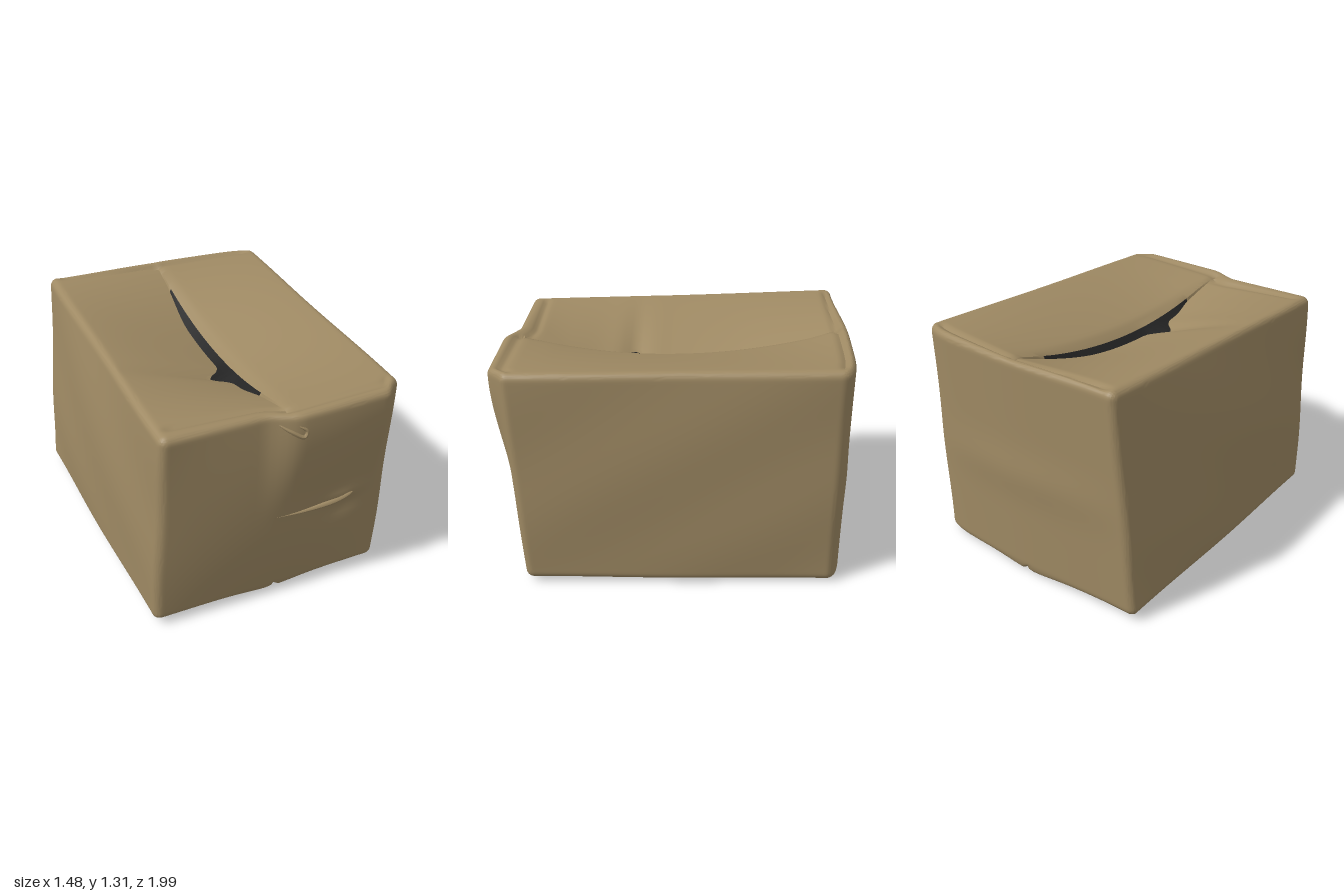
import * as THREE from 'three';
import { toCreasedNormals } from 'three/addons/utils/BufferGeometryUtils.js';

const H = [0.7, 0.64, 0.95]; // half sizes before warping
const R = 0.045; // edge rounding
const W = 61, HT = 56, D = 80; // grid, with one narrow column along the seam
const UC = Math.sin(Math.PI / 2 / W); // edge of the seam column

// Corners of the leaning carton, indexed by x + 2y + 4z
const CORNERS = [
  [-0.72, 0.04, -0.97], [0.722, 0.02, -0.885], [-0.615, 1.325, -1.0], [0.748, 1.315, -0.88],
  [-0.71, 0.04, 0.83], [0.69, 0.03, 0.85], [-0.66, 1.26, 0.89], [0.675, 1.28, 0.92],
].map((c) => new THREE.Vector3(...c));

const clamp = THREE.MathUtils.clamp;
const smooth = THREE.MathUtils.smoothstep;
const bell = (x, c, s) => Math.exp(-(((x - c) / s) ** 2));

// Width of the opening between the top flaps, with a torn notch
function gapWidth(w) {
  const open = smooth(w, -0.8, -0.3) * (1 - smooth(w, 0.45, 0.68));
  return 0.006 + 0.038 * open + 0.1 * bell(w, 0.27, 0.07);
}

// Maps a point of the [-1, 1] cube to the crumpled carton
function place(u0, v0, w0) {
  // round the edges
  const p = [u0, v0, w0].map((t, i) => t * H[i]);
  const inner = p.map((t, i) => clamp(t, R - H[i], H[i] - R));
  const d = new THREE.Vector3(...p.map((t, i) => t - inner[i]));
  if (d.lengthSq() > 0) d.setLength(Math.min(R, d.length()));
  let [u, v, w] = [d.x, d.y, d.z].map((t, i) => (t + inner[i]) / H[i]);

  // pull the seam columns together on the top and bottom
  const top = smooth(v0, 0.92, 1), bottom = smooth(-v0, 0.92, 1);
  const side = u0 < 0 ? -1 : 1;
  const edgeTop = side > 0 ? 0.03 : 0.03 - gapWidth(w) / H[0];
  const edgeBottom = 0.04 + side * 0.008;
  const fall = Math.min(1, (1 - Math.abs(u0)) / (1 - UC));
  u += (edgeTop - side * UC) * fall * top + (edgeBottom - side * UC) * fall * bottom;

  // blend the eight corners
  const out = new THREE.Vector3();
  CORNERS.forEach((c, i) => {
    const k = (i & 1 ? 1 + u : 1 - u) * (i & 2 ? 1 + v : 1 - v) * (i & 4 ? 1 + w : 1 - w) / 8;
    out.addScaledVector(c, k);
  });

  // bulging side walls
  out.x += (u < 0 ? 0.04 : 0.018) * u * (1 - v * v) * (1 - w * w);
  out.x += 0.004 * u * Math.sin(5 * v + 4 * w);

  if (w > 0) {
    // front wall: belly, loose upper right panel, dent around the crease
    const panel = smooth(u, -0.2, 0.1) * (1 - smooth(u, 0.82, 0.98));
    out.z += 0.045 * w * (1 - v * v) * (1 - u * u);
    out.z += 0.07 * panel * smooth(v, -0.2, 0.9) * smooth(w, 0.75, 1);
    out.z += smooth(w, 0.9, 1) * 0.018 * bell(u, 0.58, 0.16) * (bell(v, -0.05, 0.06) - 0.7 * bell(v, -0.2, 0.1));
  } else {
    // back wall: full towards the +x side, ridge at mid height
    out.z += 0.05 * w * (1 - u ** 8) * smooth(u, -1, 0.2);
    out.z += 0.012 * w * bell(v, -0.05, 0.2) * (1 - u * u);
  }

  // sagging top flaps with a rolled edge, the -x one lower
  const sag = side > 0 ? 0.14 * fall ** 1.3 + 0.03 * smooth(fall, 0.93, 1) : 0.2 * fall ** 1.2;
  out.y -= sag * (1 - w * w) * top;
  // fold lines across the flap ends
  const foldFront = u < 0.02 ? 0.9 : 0.93;
  const foldBack = u < 0.05 ? -0.93 + 0.03 * u : -0.94;
  const along = smooth(1 - Math.abs(u), 0.03, 0.15);
  out.y -= 0.016 * top * along * (bell(w, foldFront, 0.02) + bell(w, foldBack, 0.02));
  // bottom flaps bulge down towards a grooved seam
  out.y -= bottom * 0.022 * bell(u, 0.03, 0.3);
  if (Math.abs(u0) < UC * 1.1) out.y += bottom * (side > 0 ? 0.025 : 0.006);
  return out;
}

// Closed shell, with the cells in the opening split off as dark
function buildShell() {
  const geo = new THREE.BoxGeometry(2, 2, 2, W, HT, D);
  const pos = geo.attributes.position;
  const dense = (t) => Math.sin(t * Math.PI / 2);
  const index = Array.from(geo.index.array);
  const start = geo.groups[2].start;
  const rest = [], dark = [];
  for (let i = 0; i < index.length; i += 6) {
    const cell = (i - start) / 6;
    const z = dense((Math.floor(cell / W) + 0.5) / D * 2 - 1);
    const inGap = cell >= 0 && cell < W * D && cell % W === (W - 1) / 2 && z > -0.7 && z < 0.64;
    (inGap ? dark : rest).push(...index.slice(i, i + 6));
  }
  for (let i = 0; i < pos.count; i++) {
    const q = place(dense(pos.getX(i)), dense(pos.getY(i)), dense(pos.getZ(i)));
    pos.setXYZ(i, q.x, q.y, q.z);
  }
  geo.setIndex([...rest, ...dark]);
  geo.clearGroups();
  geo.addGroup(0, rest.length, 0);
  geo.addGroup(rest.length, dark.length, 1);
  return toCreasedNormals(geo, 0.65);
}

// Tapered fold lying half sunk in the surface
function buildFold(points, radius, skew) {
  const curve = new THREE.CatmullRomCurve3(points.map((p) => place(...p)));
  const N = 28, M = 10;
  const geo = new THREE.TubeGeometry(curve, N, radius, M);
  const pos = geo.attributes.position;
  const q = new THREE.Vector3();
  for (let i = 0; i < pos.count; i++) {
    const t = Math.floor(i / (M + 1)) / N;
    const c = curve.getPointAt(t);
    const k = Math.sqrt(Math.max(0, Math.sin(Math.PI * t ** skew)));
    q.fromBufferAttribute(pos, i).sub(c).multiplyScalar(k).add(c);
    pos.setXYZ(i, q.x, q.y, q.z);
  }
  geo.computeVertexNormals();
  return geo;
}

export function createModel() {
  const cardboard = new THREE.MeshStandardMaterial({ color: 0x9e8963 });
  cardboard.name = 'cardboard';
  const darkInside = new THREE.MeshStandardMaterial({ color: 0x222222 });
  darkInside.name = 'darkInside';

  const group = new THREE.Group();
  group.name = 'cardboardBox';
  const add = (name, geo, material) => {
    const mesh = new THREE.Mesh(geo, material);
    mesh.name = name;
    group.add(mesh);
  };

  add('boxShell', buildShell(), [cardboard, darkInside]);

  // raised folds on the front wall
  add('frontCrease', buildFold(
    [[-0.1, -0.08, 1], [0.2, -0.1, 1], [0.5, -0.08, 1], [0.66, -0.04, 1]], 0.018, 2.5), cardboard);
  add('frontPeel', buildFold(
    [[-0.08, 0.9, 1], [0.0, 0.84, 1], [0.1, 0.78, 1], [0.12, 0.83, 1], [0.05, 0.89, 1]], 0.012, 1), cardboard);
  return group;
}
